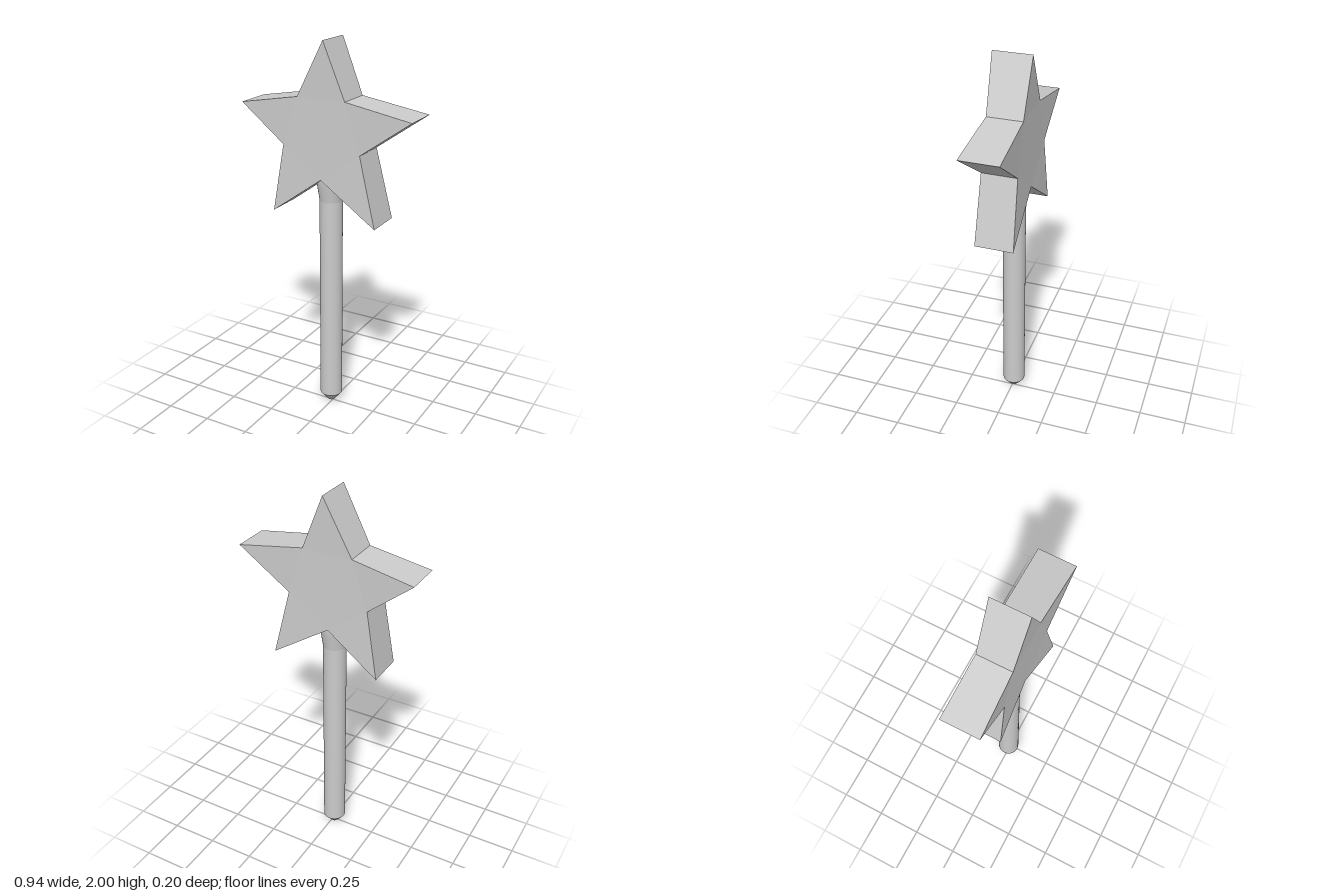
import * as THREE from 'three';

const material = new THREE.MeshStandardMaterial({ color: 0xcccccc, side: THREE.DoubleSide });

// Star outline, clockwise from the top: tips alternate with inner corners
const OUTLINE = [
  [0, 2], [0.115, 1.718], [0.47, 1.66], [0.197, 1.465], [0.287, 1.105],
  [-0.02, 1.31], [-0.295, 1.11], [-0.234, 1.468], [-0.47, 1.66], [-0.15, 1.718],
];
const TIP_DEPTH = 0.1, INNER_DEPTH = 0.092;

function lathe(name, profile) {
  const points = profile.map(([r, y]) => new THREE.Vector2(r, y));
  const mesh = new THREE.Mesh(new THREE.LatheGeometry(points, 32), material);
  mesh.name = name;
  return mesh;
}

function makeStar() {
  const shape = new THREE.Shape(OUTLINE.map(([x, y]) => new THREE.Vector2(x, y)));
  const geometry = new THREE.ExtrudeGeometry(shape, { depth: 2, bevelEnabled: false });
  // Thin the slab slightly at the inner corners
  const pos = geometry.attributes.position;
  for (let i = 0; i < pos.count; i++) {
    const corner = OUTLINE.findIndex(([x, y]) => Math.hypot(pos.getX(i) - x, pos.getY(i) - y) < 1e-4);
    const depth = corner % 2 === 0 ? TIP_DEPTH : INNER_DEPTH;
    pos.setZ(i, (pos.getZ(i) - 1) * depth);
  }
  geometry.computeVertexNormals();
  const mesh = new THREE.Mesh(geometry, material);
  mesh.name = 'star';
  return mesh;
}

export function createModel() {
  const model = new THREE.Group();
  model.name = 'starWand';
  model.add(makeStar());

  // Round handle: pointed foot, straight shaft, flared socket under the star
  const handle = new THREE.Group();
  handle.name = 'handle';
  handle.position.set(-0.013, 0, -0.005);
  handle.add(
    lathe('handleTip', [[0, 0], [0.018, 0.003], [0.06, 0.053]]),
    lathe('handleShaft', [[0.06, 0.053], [0.06, 1.18]]),
    lathe('handleSocket', [[0.06, 1.18], [0.064, 1.21], [0.072, 1.26], [0.075, 1.29], [0.075, 1.36], [0, 1.36]]),
  );
  model.add(handle);
  return model;
}
